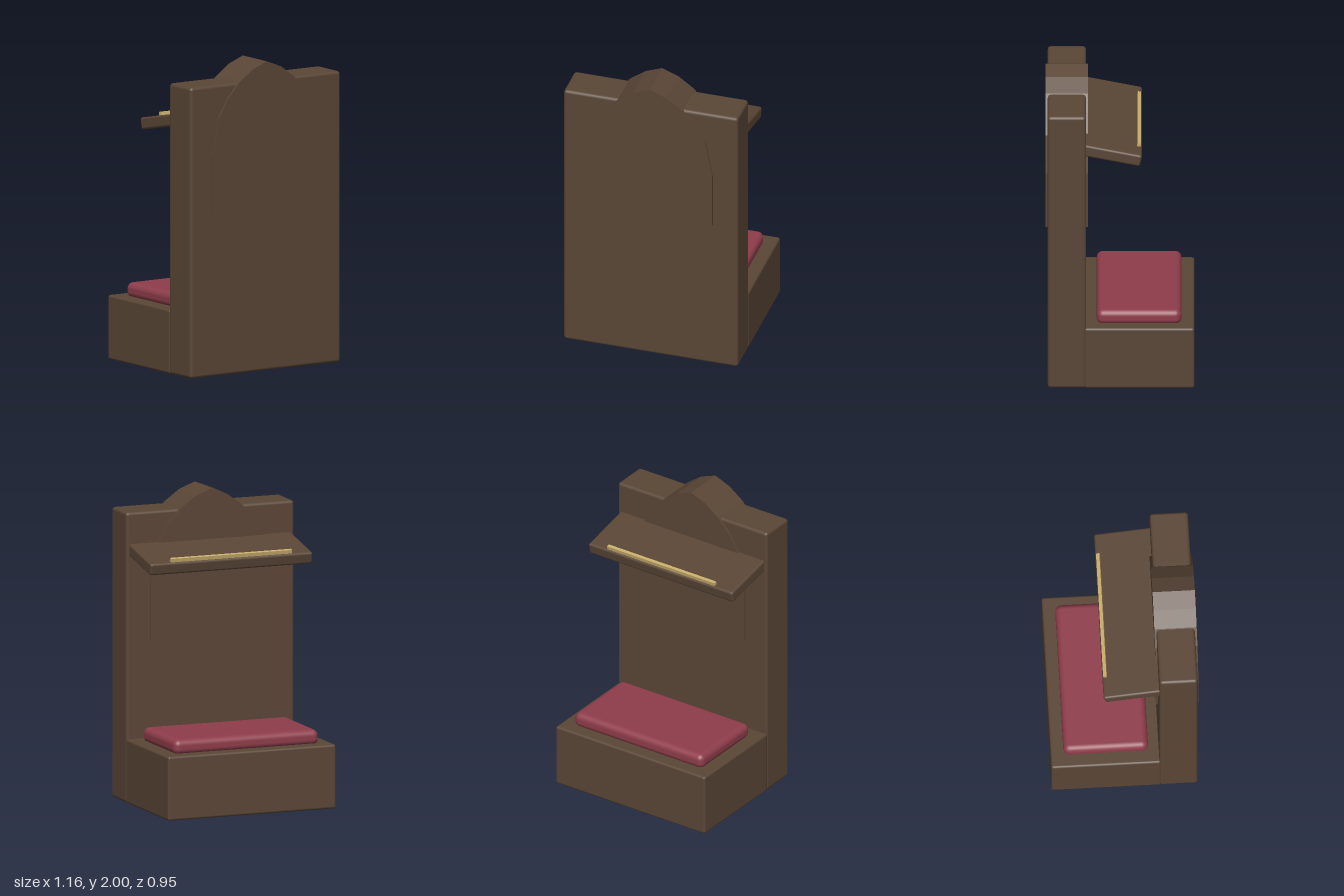
import * as THREE from 'three';
import { RoundedBoxGeometry } from 'three/addons/geometries/RoundedBoxGeometry.js';

const material = (name, color) => {
  const m = new THREE.MeshStandardMaterial({ color });
  m.name = name;
  return m;
};

export function createModel() {
  const wood = material('darkWood', 0x5a4636);
  const fabric = material('redFabric', 0x8f3d4b);
  const brass = material('brass', 0xc9ae6c);

  const model = new THREE.Group();
  model.name = 'kneelingDesk';

  const add = (parent, name, geometry, mat, x, y, z) => {
    const mesh = new THREE.Mesh(geometry, mat);
    mesh.name = name;
    mesh.position.set(x, y, z);
    parent.add(mesh);
    return mesh;
  };
  const box = (w, h, d, r, segments = 2) => new RoundedBoxGeometry(w, h, d, segments, r);

  // Upright panel and kneeling base
  add(model, 'uprightPanel', box(1.16, 1.88, 0.245, 0.02), wood, 0, 0.94, 0.34);
  add(model, 'kneelerBase', box(1.16, 0.415, 0.7, 0.015), wood, 0, 0.2075, -0.122);

  // Soft kneeling pad
  add(model, 'kneelerCushion', box(1.0, 0.1, 0.54, 0.04, 4), fabric, 0, 0.452, -0.12);

  // Pointed arch running through the upright
  const side = [[0.415, 1.05], [0.415, 1.42], [0.37, 1.665], [0.3, 1.785], [0.21, 1.885], [0.11, 1.957]];
  const outline = [
    ...side,
    [0, 2],
    ...side.map(([x, y]) => [-x, y]).reverse(),
  ].map(([x, y]) => new THREE.Vector2(x, y));
  const archGeometry = new THREE.ExtrudeGeometry(new THREE.Shape(outline), { depth: 0.27, bevelEnabled: false });
  add(model, 'pointedArch', archGeometry, wood, 0, 0, 0.205);

  // Sloping book rest with its retaining strip
  const bookRest = new THREE.Group();
  bookRest.name = 'bookRest';
  bookRest.position.set(0, 1.607, 0.073);
  bookRest.rotation.x = -0.2;
  model.add(bookRest);
  add(bookRest, 'shelf', box(1.12, 0.078, 0.42, 0.015), wood, 0, 0, 0);
  add(bookRest, 'bookStrip', new THREE.BoxGeometry(0.834, 0.03, 0.022), brass, 0, 0.047, -0.187);

  return model;
}
